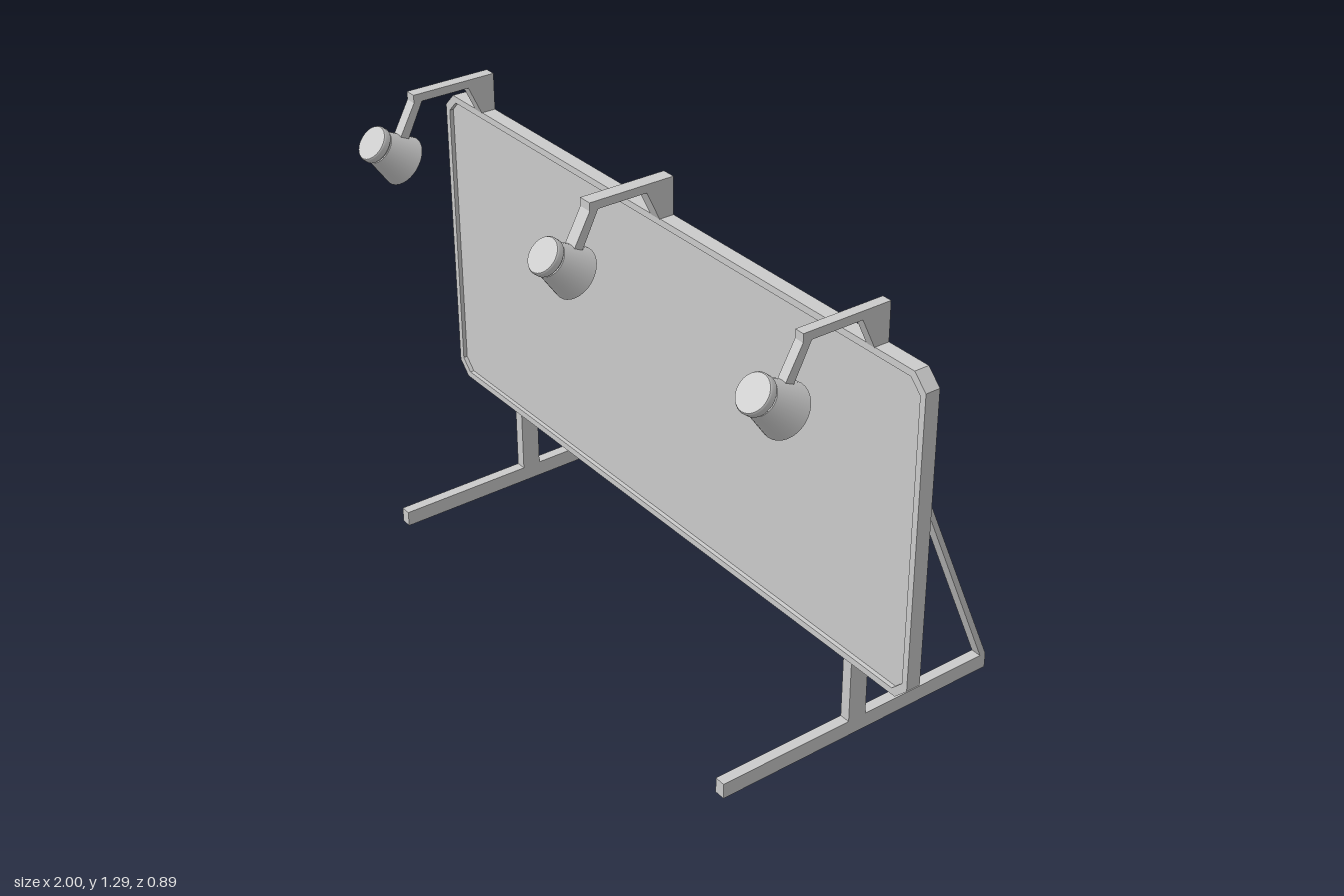
import * as THREE from 'three';

const material = new THREE.MeshStandardMaterial({ color: 0xcccccc, flatShading: true });
const smooth = new THREE.MeshStandardMaterial({ color: 0xcccccc, side: THREE.DoubleSide });

function part(name, geometry, parent, mat = material) {
  const mesh = new THREE.Mesh(geometry, mat);
  mesh.name = name;
  parent.add(mesh);
  return mesh;
}

function box(name, parent, w, y0, y1, z0, z1) {
  const mesh = part(name, new THREE.BoxGeometry(w, y1 - y0, z1 - z0), parent);
  mesh.position.set(0, (y0 + y1) / 2, (z0 + z1) / 2);
}

// Side profile given as [z, y] points, extruded along x and centred
function sideProfile(points, width) {
  const shape = new THREE.Shape(points.map(([z, y]) => new THREE.Vector2(z, y)));
  return new THREE.ExtrudeGeometry(shape, { depth: width, bevelEnabled: false })
    .translate(0, 0, -width / 2)
    .rotateY(-Math.PI / 2);
}

// Rectangle with cut corners
function cutRect(hw, y0, y1, c) {
  return [
    [-hw + c, y0], [hw - c, y0], [hw, y0 + c], [hw, y1 - c],
    [hw - c, y1], [-hw + c, y1], [-hw, y1 - c], [-hw, y0 + c],
  ].map(([x, y]) => new THREE.Vector2(x, y));
}

function createBoard() {
  const board = new THREE.Group();
  board.name = 'board';
  const outline = new THREE.Shape(cutRect(1, 0.277, 1.185, 0.04));
  const inner = cutRect(0.982, 0.296, 1.166, 0.034);
  outline.holes.push(new THREE.Path(inner));
  part('boardFrame', new THREE.ExtrudeGeometry(outline, { depth: 0.042, bevelEnabled: false }), board)
    .position.z = 0.032;
  part('boardPanel', new THREE.ExtrudeGeometry(new THREE.Shape(inner), { depth: 0.014, bevelEnabled: false }), board)
    .position.z = 0.048;
  return board;
}

function createStand(x) {
  const stand = new THREE.Group();
  stand.name = 'stand';
  stand.position.x = x;
  const w = 0.031;
  box('foot', stand, w, 0, 0.045, -0.445, 0.433);
  box('post', stand, w, 0.045, 0.307, -0.025, 0.031);
  box('backRail', stand, w, 0.296, 1.166, 0.034, 0.05);
  part('brace', sideProfile([[0.033, 1.186], [0.033, 1.152], [-0.426, 0.044], [-0.445, 0.044]], w), stand);
  return stand;
}

function createLamp(x, width) {
  const lamp = new THREE.Group();
  lamp.name = 'lamp';
  lamp.position.x = x;
  // Bracket bent over the front of the board
  part('lampArm', sideProfile([
    [0.032, 1.184], [0.075, 1.184], [0.114, 1.268], [0.261, 1.268], [0.312, 1.165],
    [0.335, 1.178], [0.286, 1.268], [0.286, 1.291], [0.032, 1.291],
  ], width), lamp);

  // Tapered shade with an open, recessed mouth; each run keeps its own sharp ends
  const head = new THREE.Group();
  head.name = 'lampHead';
  const runs = {
    shade: [[0.071, 0], [0.047, 0.093]],
    rim: [[0.064, 0], [0.071, 0]],
    shadeInside: [[0.062, 0.012], [0.064, 0]],
    lens: [[0, 0.012], [0.062, 0.012]],
    capUnderside: [[0.043, 0.093], [0.047, 0.093]],
    neck: [[0.043, 0.093], [0.043, 0.101]],
    capLip: [[0.043, 0.101], [0.051, 0.101]],
    cap: [[0.051, 0.101], [0.051, 0.116], [0.048, 0.121]],
    capTop: [[0.048, 0.121], [0, 0.121]],
  };
  for (const [name, pts] of Object.entries(runs)) {
    part(name, new THREE.LatheGeometry(pts.map(([r, y]) => new THREE.Vector2(r, y)), 32), head, smooth);
  }
  head.position.set(0, 1.103, 0.3215);
  head.rotation.x = Math.atan2(0.092, 0.078);
  lamp.add(head);
  return lamp;
}

export function createModel() {
  const model = new THREE.Group();
  model.name = 'illuminatedSignBoard';
  model.add(createBoard());
  for (const x of [-0.755, 0.738]) model.add(createStand(x));
  for (const [x, w] of [[-0.825, 0.034], [-0.005, 0.04], [0.813, 0.028]]) model.add(createLamp(x, w));
  return model;
}
